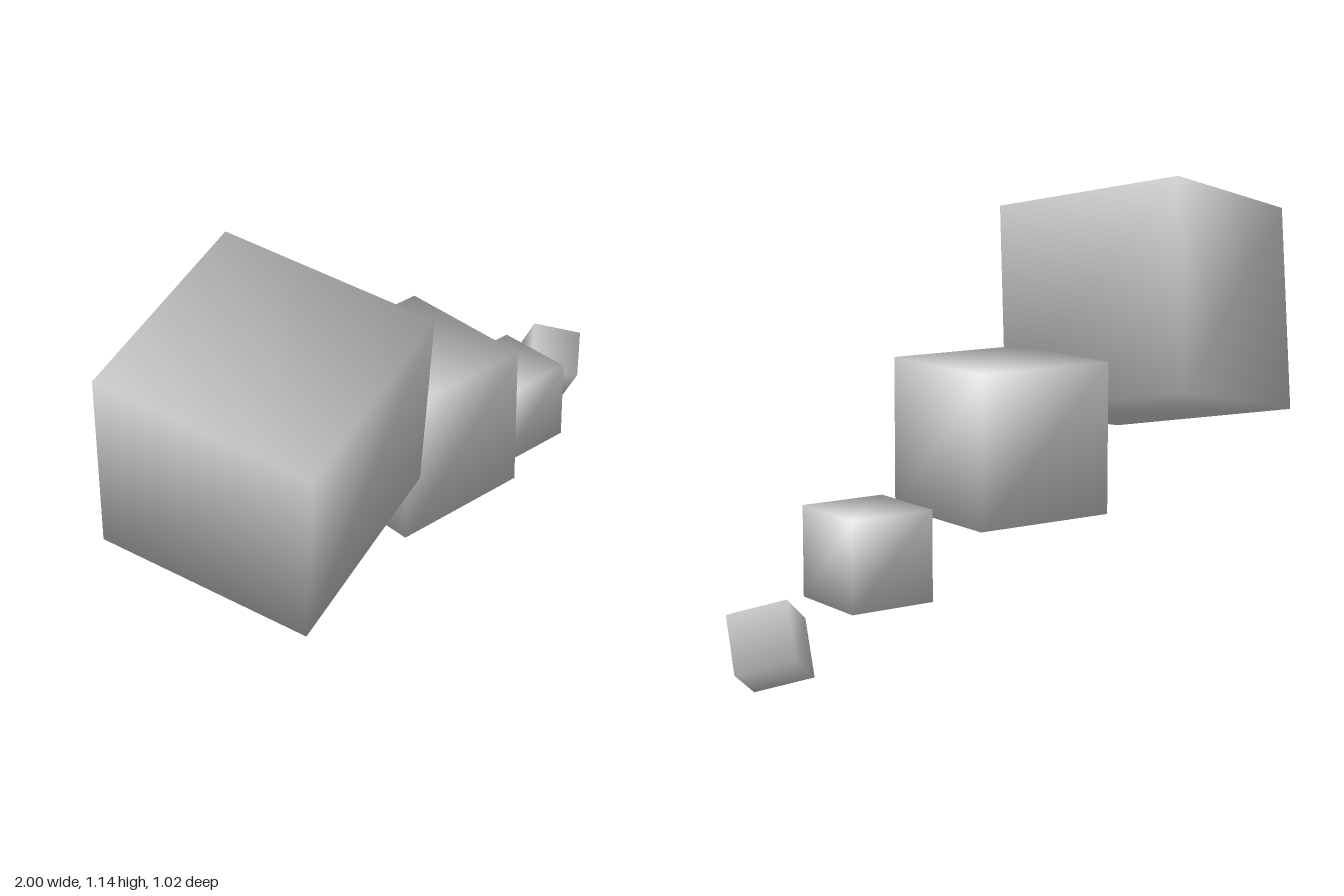
import * as THREE from 'three';
import { mergeVertices } from 'three/addons/utils/BufferGeometryUtils.js';

// Cube with eight shared corners, shaded smoothly across its edges
function smoothCube(size) {
  const box = new THREE.BoxGeometry(size, size, size);
  box.deleteAttribute('normal');
  box.deleteAttribute('uv');
  const geometry = mergeVertices(box);
  const normals = geometry.attributes.position.clone();
  geometry.setAttribute('normal', normals);
  geometry.normalizeNormals();
  return geometry;
}

// Rotation from the directions of a cube's own x and y edges
function orientation(xEdge, yEdge) {
  const x = new THREE.Vector3(...xEdge).normalize();
  const z = new THREE.Vector3().crossVectors(x, new THREE.Vector3(...yEdge)).normalize();
  const y = new THREE.Vector3().crossVectors(z, x);
  return new THREE.Quaternion().setFromRotationMatrix(new THREE.Matrix4().makeBasis(x, y, z));
}

export function createModel() {
  const group = new THREE.Group();
  group.name = 'cubeTrail';
  const material = new THREE.MeshStandardMaterial({ color: 0xcccccc });

  // A trail of shrinking cubes; the first and last are tumbled
  const cubes = [
    { name: 'largeCube', size: 0.576, at: [-0.595, 0.76, 0.087], x: [0.93, 0.2, -0.313], y: [-0.13, 0.966, 0.231] },
    { name: 'mediumCube', size: 0.4, at: [0.003, 0.476, -0.053], x: [1, 0, 0], y: [0, 1, 0] },
    { name: 'smallCube', size: 0.231, at: [0.494, 0.247, -0.182], x: [1, 0, 0], y: [0, 1, 0] },
    { name: 'tinyCube', size: 0.147, at: [0.885, 0.118, -0.388], x: [0.095, 0.074, -0.083], y: [-0.11, 0.039, -0.091] },
  ];

  for (const { name, size, at, x, y } of cubes) {
    const cube = new THREE.Mesh(smoothCube(size), material);
    cube.name = name;
    cube.position.set(...at);
    cube.quaternion.copy(orientation(x, y));
    group.add(cube);
  }
  return group;
}
